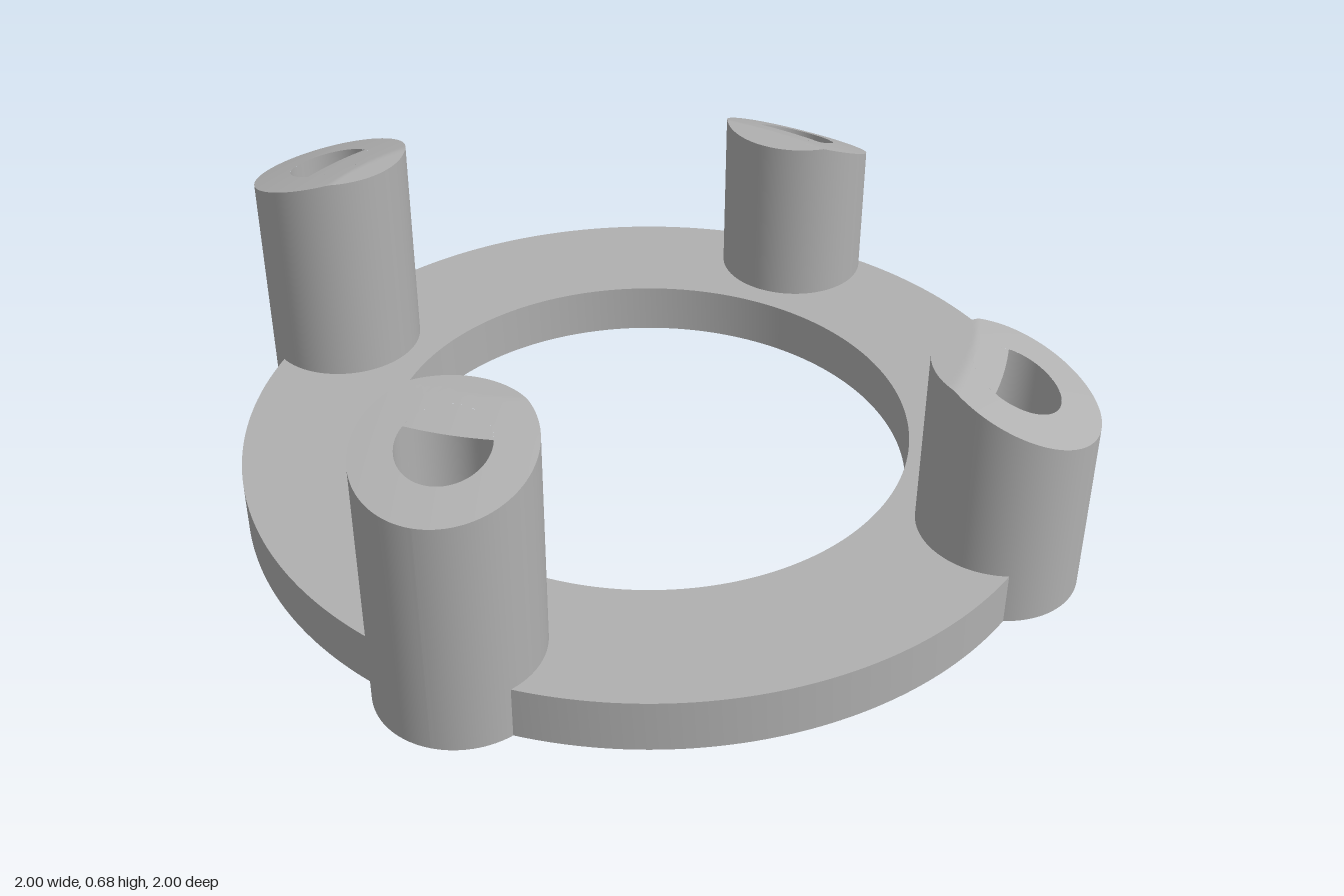
import * as THREE from 'three';
import { toCreasedNormals } from 'three/addons/utils/BufferGeometryUtils.js';

const POST_R = 0.193, HOLE_R = 0.1, HOLE_FLOOR = 0.13;
// Large dome that trims the tops of the posts
const DOME = { x: -0.23, y: -1.945, r: 2.7 };

// Smooth surface over u, v in 0..1; it faces along du x dv
function surface(nu, nv, point) {
  const pos = [], idx = [];
  for (let i = 0; i <= nu; i++)
    for (let j = 0; j <= nv; j++) pos.push(...point(i / nu, j / nv));
  for (let i = 0; i < nu; i++)
    for (let j = 0; j < nv; j++) {
      const a = i * (nv + 1) + j, b = a + nv + 1;
      idx.push(a, b, b + 1, a, b + 1, a + 1);
    }
  const g = new THREE.BufferGeometry();
  g.setAttribute('position', new THREE.Float32BufferAttribute(pos, 3));
  g.setIndex(idx);
  g.computeVertexNormals();
  return g;
}

// Post with its local +x pointing away from the dome centre
function makePost(px, pz, height, ceiling, material) {
  const dx = px - DOME.x, dist = Math.hypot(dx, pz);
  const post = new THREE.Group();
  post.name = 'post';
  post.position.set(px, 0, pz);
  post.rotation.y = Math.atan2(-pz, dx);

  const topAt = (x, z) =>
    Math.min(height, DOME.y + Math.sqrt(DOME.r ** 2 - (dist + x) ** 2 - z * z));
  const polar = (r, t) => [r * Math.cos(t * 2 * Math.PI), r * Math.sin(t * 2 * Math.PI)];
  const add = (name, geometry) => {
    const mesh = new THREE.Mesh(geometry, material);
    mesh.name = name;
    post.add(mesh);
  };

  add('postWall', surface(1, 96, (u, v) => {
    const [x, z] = polar(POST_R, v);
    return [x, u * topAt(x, z), z];
  }));
  add('postBottom', surface(1, 96, (u, v) => {
    const [x, z] = polar(POST_R * u, v);
    return [x, 0, z];
  }));
  add('postTop', surface(96, 10, (u, v) => {
    const [x, z] = polar(HOLE_R + (POST_R - HOLE_R) * v, u);
    return [x, topAt(x, z), z];
  }));

  // Lid over the inner half of the hole, ending where the dome cuts its ceiling
  const cut = Math.sqrt(DOME.r ** 2 - (ceiling - DOME.y) ** 2);
  const lid = (u, v) => {
    const z = -HOLE_R * Math.cos(u * Math.PI), half = HOLE_R * Math.sin(u * Math.PI);
    const edge = Math.sqrt(cut * cut - z * z) - dist;
    const end = Math.max(-half, Math.min(half, edge));
    return [-half + (end + half) * v, z];
  };
  add('lidTop', surface(32, 6, (u, v) => {
    const [x, z] = lid(u, v);
    return [x, topAt(x, z), z];
  }));
  add('holeCeiling', surface(1, 32, (u, v) => {
    const [x, z] = lid(v, u);
    return [x, ceiling, z];
  }));
  add('holeWall', surface(64, 1, (u, v) => {
    const [x, z] = polar(HOLE_R, u);
    const top = Math.min(ceiling, topAt(x, z));
    return [x, HOLE_FLOOR + (top - HOLE_FLOOR) * v, z];
  }));
  add('holeFloor', surface(64, 1, (u, v) => {
    const [x, z] = polar(HOLE_R * v, u);
    return [x, HOLE_FLOOR, z];
  }));
  return post;
}

export function createModel() {
  const model = new THREE.Group();
  model.name = 'postRing';
  const grey = new THREE.MeshStandardMaterial({ color: 0xb0b0b0 });
  grey.name = 'grey';

  // Flat base ring
  const outline = new THREE.Shape().absarc(0, 0, 1, 0, Math.PI * 2, false);
  outline.holes.push(new THREE.Path().absarc(0, 0, 0.645, 0, Math.PI * 2, true));
  const ringGeometry = new THREE.ExtrudeGeometry(outline, {
    depth: 0.13, bevelEnabled: false, curveSegments: 128,
  });
  ringGeometry.rotateX(-Math.PI / 2);
  const ring = new THREE.Mesh(toCreasedNormals(ringGeometry, 0.6), grey);
  ring.name = 'baseRing';
  model.add(ring);

  // Taller posts on the right, shorter ones on the left
  for (const side of [-1, 1]) {
    model.add(makePost(-0.64, side * 0.64, 0.68, 0.652, grey));
    model.add(makePost(0.64, side * 0.64, 0.573, 0.543, grey));
  }
  return model;
}
